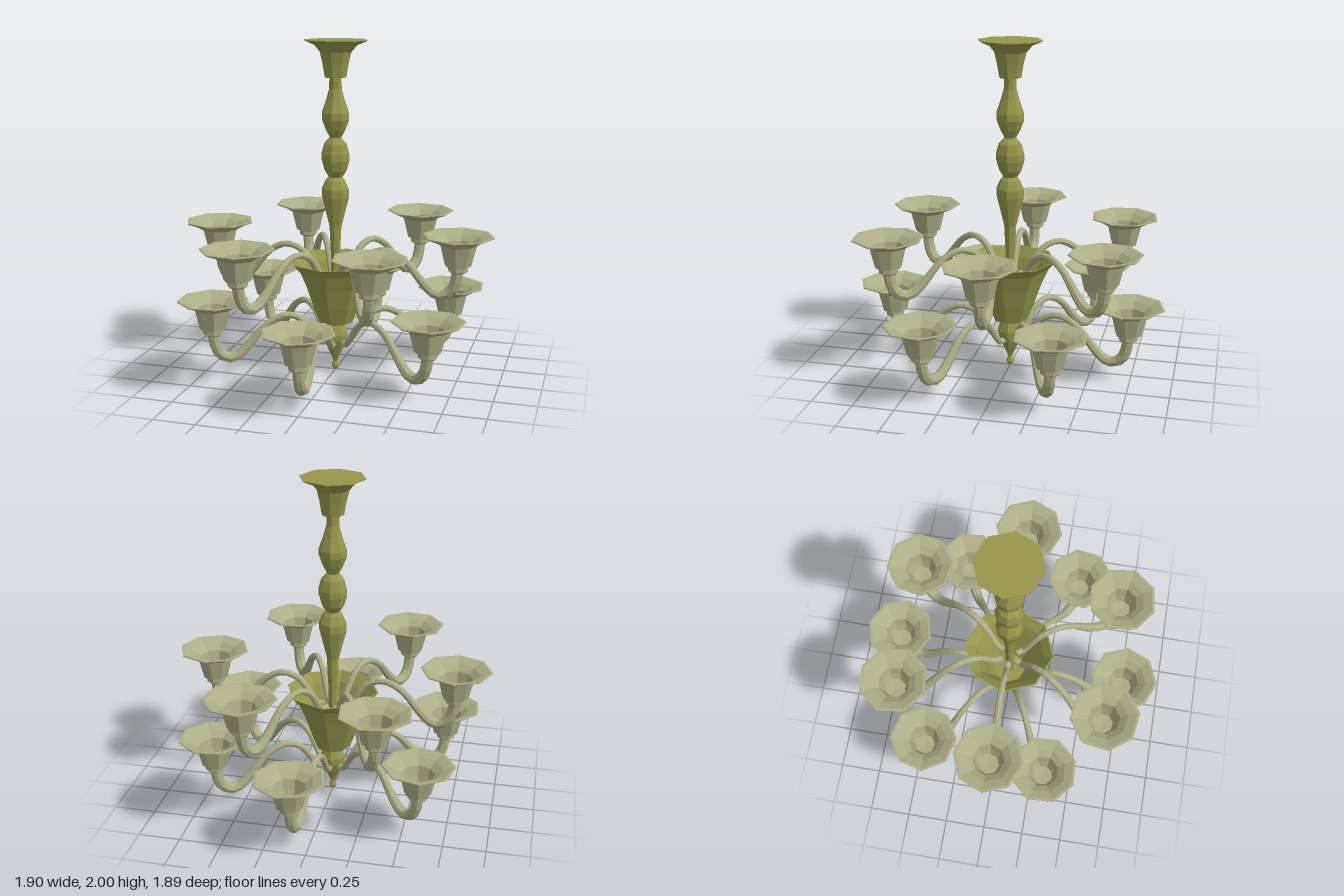
import * as THREE from 'three';

const olive = new THREE.MeshStandardMaterial({ color: 0x96964c, flatShading: true });
const pale = new THREE.MeshStandardMaterial({ color: 0xadad86, flatShading: true });

// Eight-sided turned part; profile runs bottom to top as [radius, y]
function turned(name, profile, material) {
  const geo = new THREE.LatheGeometry(profile.map(([r, y]) => new THREE.Vector2(r, y)), 8);
  const mesh = new THREE.Mesh(geo, material);
  mesh.name = name;
  return mesh;
}

// S-shaped arm, thickening from the hub towards the cup
function armGeometry() {
  const path = new THREE.CatmullRomCurve3([
    [0.05, -0.305], [0.1, -0.3], [0.14, -0.24], [0.21, -0.15], [0.31, -0.118], [0.42, -0.17],
    [0.53, -0.295], [0.6, -0.358], [0.66, -0.366], [0.715, -0.32], [0.735, -0.25], [0.74, -0.19],
  ].map(([r, y]) => new THREE.Vector3(r, y, 0)));
  const rings = 22, sides = 8;
  const geo = new THREE.TubeGeometry(path, rings, 1, sides);
  const pos = geo.attributes.position, v = new THREE.Vector3();
  for (let i = 0; i <= rings; i++) {
    const c = path.getPointAt(i / rings);
    const radius = 0.02 + 0.014 * THREE.MathUtils.smoothstep(i / rings, 0.4, 0.85);
    for (let j = 0; j <= sides; j++) {
      const k = i * (sides + 1) + j;
      v.fromBufferAttribute(pos, k).sub(c).multiplyScalar(radius).add(c);
      pos.setXYZ(k, v.x, v.y, v.z);
    }
  }
  geo.computeVertexNormals();
  return geo;
}

export function createModel() {
  const model = new THREE.Group();
  model.name = 'chandelier';

  // Central stem, from ceiling canopy down to the finial
  model.add(turned('canopy', [
    [0, 1.785], [0.065, 1.785], [0.078, 1.86], [0.095, 1.93], [0.13, 1.97], [0.19, 1.995], [0.19, 2], [0, 2],
  ], olive));
  model.add(turned('column', [
    [0, 0.33], [0.027, 0.33], [0.027, 0.7], [0.037, 0.9], [0.065, 1.01], [0.083, 1.08], [0.083, 1.13],
    [0.06, 1.18], [0.042, 1.2], [0.068, 1.24], [0.085, 1.3], [0.085, 1.34], [0.068, 1.4], [0.035, 1.435],
    [0.06, 1.48], [0.083, 1.54], [0.083, 1.58], [0.055, 1.66], [0.038, 1.72], [0.037, 1.79],
  ], olive));
  model.add(turned('bowl', [
    [0, 0.31], [0.105, 0.31], [0.15, 0.42], [0.195, 0.55], [0.235, 0.64], [0.28, 0.692],
    [0.27, 0.692], [0.22, 0.635], [0.18, 0.55], [0.135, 0.42], [0.1, 0.34], [0, 0.34],
  ], olive));
  model.add(turned('finial', [
    [0, 0], [0.018, 0.01], [0.024, 0.027], [0.018, 0.043], [0.012, 0.055], [0.02, 0.075], [0.05, 0.14],
    [0.073, 0.195], [0.076, 0.235], [0.06, 0.28], [0.045, 0.32],
  ], olive));

  // Cup, hollow, with collar and flared rim at local y = 0
  const cupProfile = [
    [0, -0.22], [0.045, -0.22], [0.058, -0.21], [0.058, -0.185], [0.078, -0.178], [0.092, -0.12],
    [0.108, -0.055], [0.15, -0.03], [0.21, -0.006], [0.21, 0], [0.195, 0], [0.14, -0.022],
    [0.096, -0.055], [0.08, -0.12], [0.062, -0.168], [0, -0.175],
  ];
  const armGeo = armGeometry();

  // Two tiers of arms; angles in degrees from +x towards +z
  const tiers = [
    { name: 'upper', y: 0.892, angles: [0, 60, 121, 180, 240, 302] },
    { name: 'lower', y: 0.484, angles: [30, 90, 154, 217, 277, 330] },
  ];
  for (const { name, y, angles } of tiers) {
    angles.forEach((a, i) => {
      const branch = new THREE.Group();
      branch.name = `${name}Branch${i + 1}`;
      const arm = new THREE.Mesh(armGeo, pale);
      arm.name = 'arm';
      const cup = turned('cup', cupProfile, pale);
      cup.position.x = 0.74;
      branch.add(arm, cup);
      branch.position.y = y;
      branch.rotation.y = -THREE.MathUtils.degToRad(a);
      model.add(branch);
    });
  }
  return model;
}
